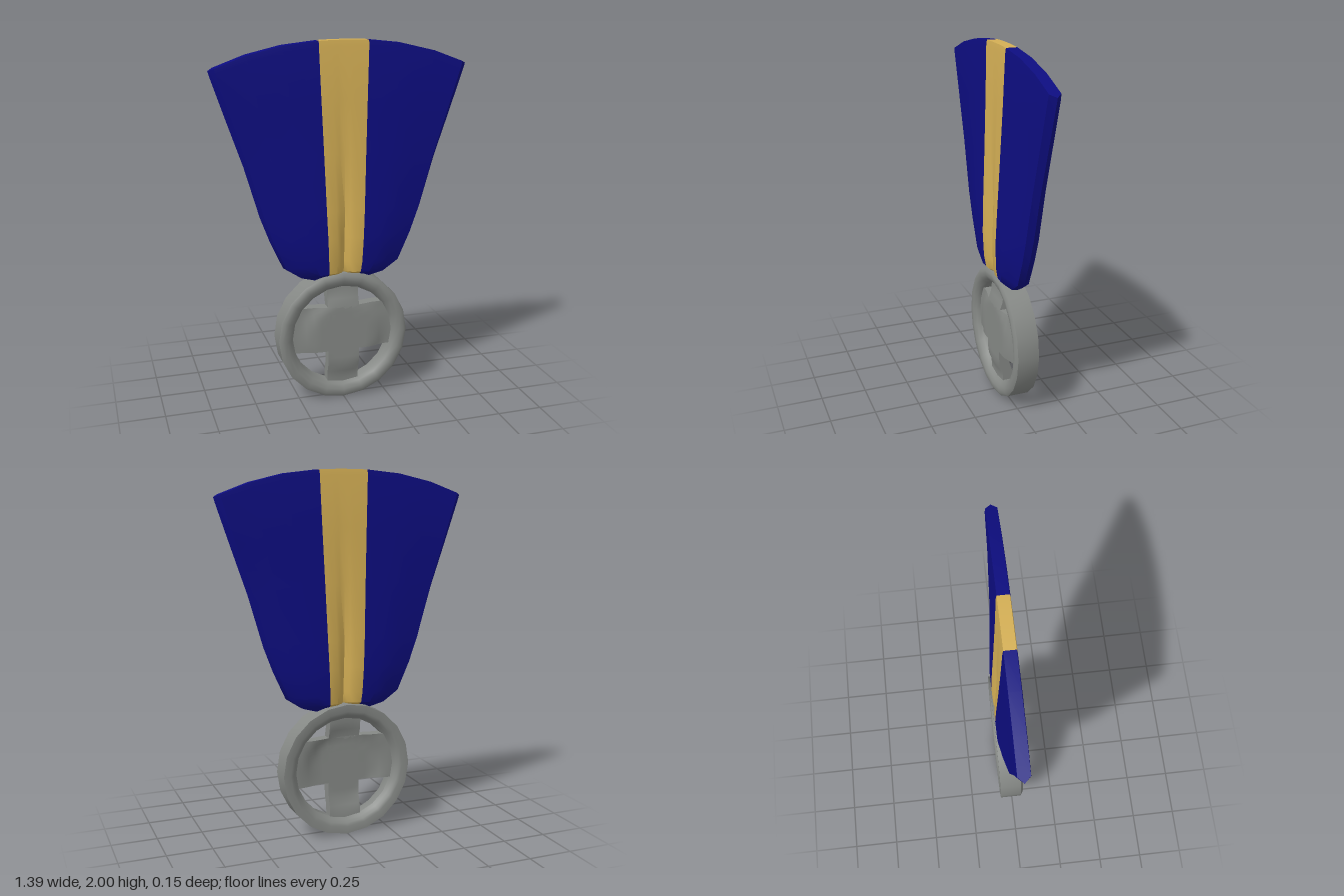
import * as THREE from 'three';
import { toCreasedNormals } from 'three/addons/utils/BufferGeometryUtils.js';

const material = (name, color, side = THREE.FrontSide) => {
  const m = new THREE.MeshStandardMaterial({ color, side });
  m.name = name;
  return m;
};

// Ribbon rows from top to bottom: half width, centre y, edge y, half depth,
// half width of gold stripe, depth factor at the centre crease, depth factor near the edge
const ROWS = [
  [0.697, 2.0, 1.86, 0.03, 0.135, 1, 1],
  [0.69, 1.97, 1.835, 0.034, 0.135, 1, 0.95],
  [0.615, 1.7, 1.61, 0.043, 0.126, 0.95, 0.75],
  [0.53, 1.41, 1.36, 0.055, 0.116, 0.85, 0.6],
  [0.45, 1.1, 1.08, 0.069, 0.106, 0.65, 0.5],
  [0.4, 0.95, 0.945, 0.074, 0.1, 0.5, 0.45],
  [0.33, 0.81, 0.79, 0.069, 0.094, 0.4, 0.45],
  [0.24, 0.75, 0.73, 0.058, 0.09, 0.35, 0.5],
  [0.16, 0.725, 0.705, 0.02, 0.085, 0.5, 0.6],
];

// Closed loop of points around the ribbon at one row
function ribbonLoop([w, yc, ye, h, g, crease, edge]) {
  const half = [[0, crease], [g * 0.25, (crease + 1) / 2 + 0.1 * (1 - crease)], [g * 0.5, 1], [g, 1]];
  [[0.33, 1], [0.66, (1 + edge) / 2 + 0.08 * (1 - edge)], [0.95, edge], [1, 0]]
    .forEach(([t, f]) => half.push([g + (w - g) * t, f]));
  const columns = [...half.slice(1).reverse().map(([x, f]) => [-x, f]), ...half];
  const point = ([x, f], s) => [
    x + 0.007 * (1 - Math.abs(x) / w),
    yc + (ye - yc) * Math.pow(Math.abs(x) / w, 2.3),
    s * f * h,
  ];
  return [
    ...columns.map((c) => point(c, 1)),
    ...columns.slice(1, -1).reverse().map((c) => point(c, -1)),
  ];
}

function ribbonGeometry() {
  const loops = ROWS.map(ribbonLoop);
  const n = loops[0].length;
  const front = n / 2;            // index of the right edge
  const faces = [[], []];         // blue, gold
  const id = (r, i) => r * n + ((i + n) % n);
  const isGold = (i) => (i >= 4 && i < front - 4 ? 1 : 0);
  // Front and back skins
  for (let r = 0; r < loops.length - 1; r++) {
    for (let i = 0; i < n; i++) {
      const column = i < front ? i : n - 1 - i;
      const [a, b, c, d] = [id(r, i), id(r, i + 1), id(r + 1, i), id(r + 1, i + 1)];
      faces[isGold(column)].push(a, c, d, a, d, b);
    }
  }
  // Top and bottom edges
  const last = loops.length - 1;
  for (let i = 0; i < front; i++) {
    const quad = (r) => [id(r, i), id(r, i + 1), id(r, n - i - 1), id(r, n - i)];
    const [a, b, c, d] = quad(0);
    faces[isGold(i)].push(a, b, c, a, c, d);
    const [e, f, g, h] = quad(last);
    faces[isGold(i)].push(e, g, f, e, h, g);
  }
  const geometry = new THREE.BufferGeometry();
  geometry.setAttribute('position', new THREE.Float32BufferAttribute(loops.flat(2), 3));
  geometry.setIndex([...faces[0], ...faces[1]]);
  geometry.addGroup(0, faces[0].length, 0);
  geometry.addGroup(faces[0].length, faces[1].length, 1);
  return toCreasedNormals(geometry, 0.7);
}

// Cross arm whose ends dip back towards the ring
function armGeometry(width, height, y) {
  const geometry = new THREE.BoxGeometry(width, height, 0.06, 14, 14, 1);
  geometry.translate(0, y, 0.018);
  const p = geometry.attributes.position;
  for (let i = 0; i < p.count; i++) {
    const r = Math.hypot(p.getX(i), p.getY(i));
    p.setZ(i, p.getZ(i) - 0.025 * THREE.MathUtils.smoothstep(r, 0.17, 0.26));
  }
  return toCreasedNormals(geometry, 0.7);
}

export function createModel() {
  const model = new THREE.Group();
  model.name = 'medal';
  const navy = material('navy ribbon', 0x0d0d80);
  const gold = material('gold stripe', 0xd4af55);
  const steel = material('grey metal', 0x868986);

  const add = (parent, name, geometry, mat) => {
    const mesh = new THREE.Mesh(geometry, mat);
    mesh.name = name;
    parent.add(mesh);
    return mesh;
  };

  add(model, 'ribbon', ribbonGeometry(), [navy, gold]);

  // Pendant: ring and cross
  const pendant = new THREE.Group();
  pendant.name = 'pendant';
  pendant.position.y = 0.375;
  model.add(pendant);

  // Ring profile as radius and depth, back to front along the outside
  const profile = [
    [0.285, -0.035], [0.3, -0.05], [0.312, -0.068], [0.33, -0.075], [0.37, -0.075], [0.37, 0.045],
    [0.352, 0.057], [0.325, 0.055], [0.3, 0.042], [0.285, 0.02], [0.285, -0.035],
  ].map(([r, z]) => new THREE.Vector2(r, z));
  const ring = toCreasedNormals(new THREE.LatheGeometry(profile, 20), 0.75);
  ring.rotateX(Math.PI / 2);
  add(pendant, 'ring', ring, steel);

  add(pendant, 'crossUpright', armGeometry(0.18, 0.61, 0), steel);
  add(pendant, 'crossBar', armGeometry(0.59, 0.26, 0.045), steel);
  return model;
}
